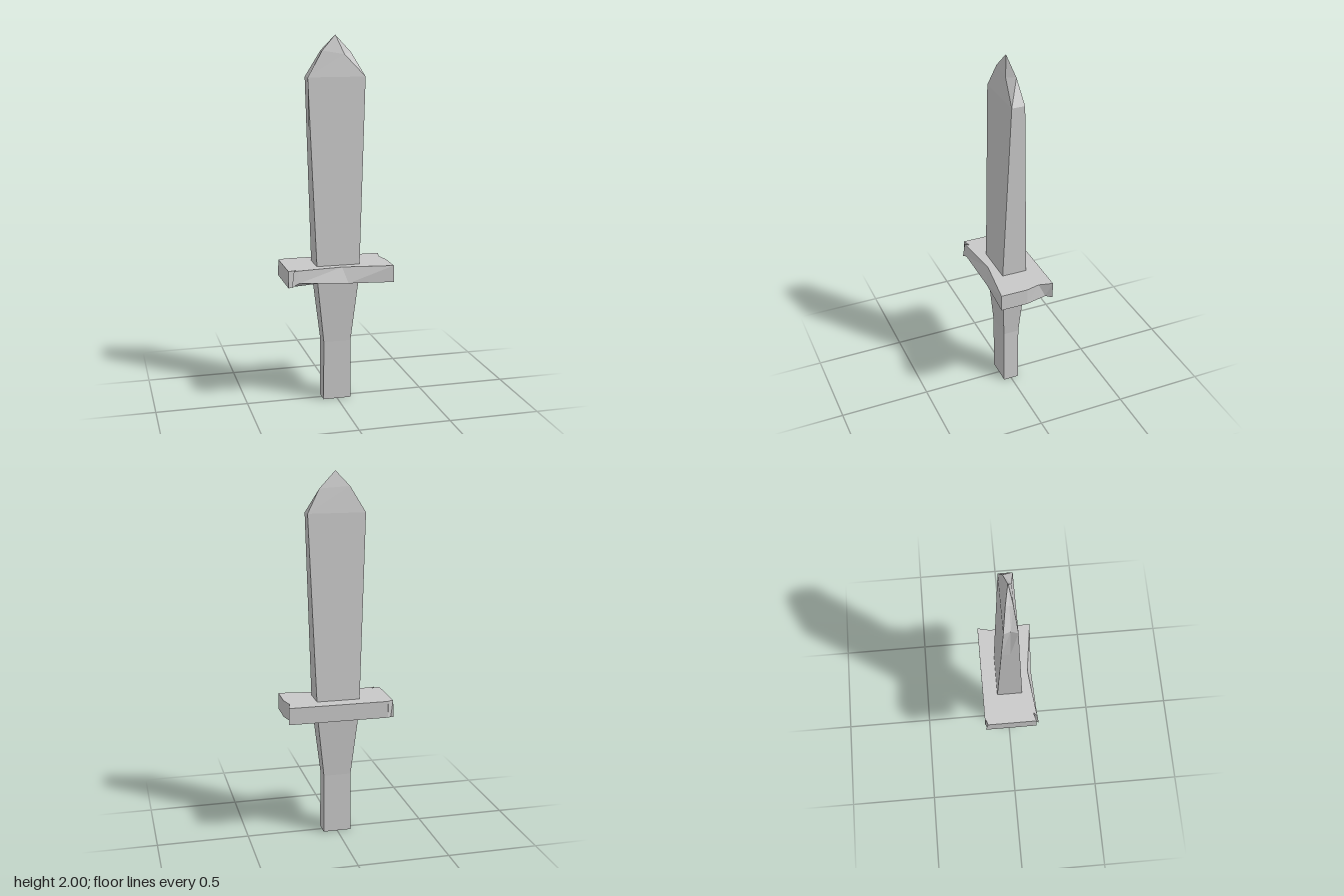
import * as THREE from 'three';

const stone = new THREE.MeshStandardMaterial({ color: 0xc8c8c8, flatShading: true });
stone.name = 'light grey stone';

// Lofts matching rings, listed bottom to top; each ring turns from +x towards -z.
function loft(name, rings) {
  const pos = [];
  const tri = (...pts) => pts.forEach((p) => pos.push(...p));
  for (let r = 0; r < rings.length - 1; r++) {
    const low = rings[r], high = rings[r + 1], n = low.length;
    for (let i = 0; i < n; i++) {
      const j = (i + 1) % n;
      tri(low[i], low[j], high[j]);
      tri(low[i], high[j], high[i]);
    }
  }
  const cap = (ring, up) => {
    const outline = ring.map(([x, , z]) => new THREE.Vector2(x, -z));
    for (const [a, b, c] of THREE.ShapeUtils.triangulateShape(outline, [])) {
      if (up) tri(ring[a], ring[b], ring[c]);
      else tri(ring[a], ring[c], ring[b]);
    }
  };
  cap(rings[0], false);
  cap(rings[rings.length - 1], true);
  const geometry = new THREE.BufferGeometry();
  geometry.setAttribute('position', new THREE.Float32BufferAttribute(pos, 3));
  geometry.computeVertexNormals();
  const mesh = new THREE.Mesh(geometry, stone);
  mesh.name = name;
  return mesh;
}

// Rectangular ring with half sizes x and z; the -x edge can be dented in the middle.
const ring = (y, x, z, dent = 0) => [
  [x, y, z], [x, y, -z], [-x, y, -z], [-x + dent, y, 0], [-x, y, z],
];

export function createModel() {
  const group = new THREE.Group();
  group.name = 'dagger';

  // Grip: straight lower part, flaring up to the guard
  group.add(loft('grip', [
    ring(0, 0.078, 0.044), ring(0.335, 0.076, 0.045), ring(0.7, 0.117, 0.067),
  ]));

  // Blade: widens in x and thins in z, then an uneven chipped point
  group.add(loft('blade', [
    ring(0.74, 0.118, 0.071),
    ring(1.48, 0.1458, 0.0461),
    ring(1.783, 0.157, 0.036, 0.012),
    [[0.045, 1.9, 0.021], [0.09, 1.91, -0.018], [-0.075, 1.92, -0.019],
      [-0.073, 1.92, 0], [-0.075, 1.92, 0.019]],
    ring(2, 0.001, 0.001),
  ]));

  // Guard: slab with a hollowed front, a dented end and chipped corners
  const bottom = 0.681, top = 0.773;
  const guardLow = [
    [0.29, bottom, 0.15], [0.29, bottom, 0], [0.263, bottom, -0.12], [0.29, bottom, -0.151],
    [-0.258, bottom, -0.151], [-0.275, bottom, -0.143], [-0.29, bottom, -0.151],
    [-0.29, bottom, 0.137], [-0.262, 0.686, 0.128], [-0.275, 0.686, 0.15],
    [-0.235, 0.706, 0.145], [0.04, 0.686, 0.135],
  ];
  const guardHigh = [
    [0.29, top, 0.15], [0.29, top, 0], [0.272, top, -0.075], [0.29, top, -0.151],
    [-0.258, top, -0.151], [-0.262, top, -0.144], [-0.29, top, -0.136],
    [-0.29, top, 0.135], [-0.24, top, 0.121], [-0.262, top, 0.143],
    [-0.235, top, 0.138], [0.01, top, 0.111],
  ];
  group.add(loft('guard', [guardLow, guardHigh]));
  return group;
}
